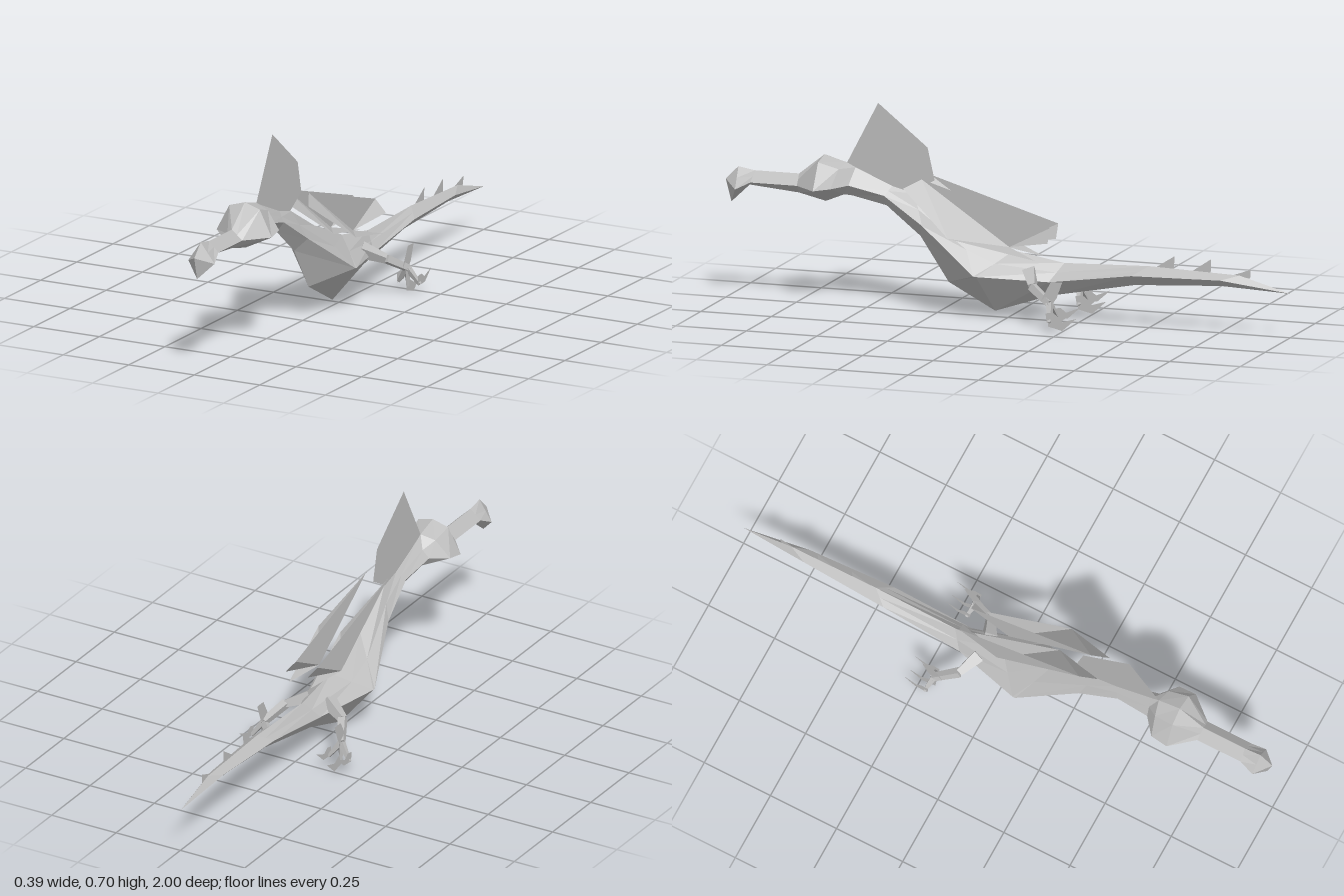
import * as THREE from 'three';

const grey = new THREE.MeshStandardMaterial({ color: 0xbcbcbc, flatShading: true, side: THREE.DoubleSide });
grey.name = 'grey';

function faceted(points, index, name) {
  const indexed = new THREE.BufferGeometry();
  indexed.setAttribute('position', new THREE.Float32BufferAttribute(points.flat(), 3));
  indexed.setIndex(index);
  const geo = indexed.toNonIndexed();
  geo.computeVertexNormals();
  const mesh = new THREE.Mesh(geo, grey);
  mesh.name = name;
  return mesh;
}

// Skin over cross-sections: top, shoulder, side and keel, mirrored in x
function loft(sections, name) {
  const points = [], index = [];
  for (const [zt, yt, zs, w, ys, zb, yb, sw = w * 0.5, sy = (yt + ys) / 2] of sections) {
    const zm = (zt + zs) / 2;
    points.push([0, yt, zt], [sw, sy, zm], [w, ys, zs], [0, yb, zb], [-w, ys, zs], [-sw, sy, zm]);
  }
  for (let i = 0; i < sections.length - 1; i++) {
    for (let j = 0; j < 6; j++) {
      const a = i * 6 + j, b = i * 6 + (j + 1) % 6;
      index.push(a, b, a + 6, b, b + 6, a + 6);
    }
  }
  return faceted(points, index, name);
}

// Thin upright plate from (z, y) outline points at a given x
function fin(outline, x, name) {
  const geo = new THREE.ShapeGeometry(new THREE.Shape(outline.map(([z, y]) => new THREE.Vector2(-z, y))));
  geo.rotateY(Math.PI / 2);
  geo.translate(x, 0, 0);
  const mesh = new THREE.Mesh(geo, grey);
  mesh.name = name;
  return mesh;
}

// Tapered four-sided limb segment between two points
function limb(from, to, r0, r1, name) {
  const a = new THREE.Vector3(...from), b = new THREE.Vector3(...to);
  const dir = b.clone().sub(a);
  const mesh = new THREE.Mesh(new THREE.CylinderGeometry(r1, r0, dir.length(), 4), grey);
  mesh.position.copy(a).add(b).multiplyScalar(0.5);
  mesh.quaternion.setFromUnitVectors(new THREE.Vector3(0, 1, 0), dir.normalize());
  mesh.name = name;
  return mesh;
}

// Folded wing: outer panel and upright inner panel sharing one crease
function makeWing(offset, name) {
  const points = [
    [0.075, 0.43, 0.345], [0.045, 0.46, 0.29], [0.043, 0.25, -0.02], [0.095, 0.22, -0.13],
    [0.153, 0.287, 0.16], [0.048, 0.325, -0.165], [0.085, 0.28, -0.17],
  ];
  const wing = faceted(points, [0, 4, 1, 1, 4, 2, 2, 4, 3, 1, 2, 5, 5, 2, 6], name);
  wing.position.x = offset;
  return wing;
}

function makeLeg(s, name) {
  const leg = new THREE.Group();
  leg.name = name;
  const knee = [s * 0.11, 0.135, -0.125], ankle = [s * 0.15, 0.09, -0.2];
  leg.add(limb([s * 0.035, 0.165, -0.09], knee, 0.03, 0.017, 'thigh'));
  leg.add(limb(knee, ankle, 0.018, 0.015, 'shin'));
  // Outer and inner toes with hooked claws
  for (const x of [0.11, 0.19]) {
    leg.add(limb(ankle, [s * x, 0.035, -0.215], 0.014, 0.007, 'toe'));
    leg.add(fin([[-0.2, 0.065], [-0.205, 0.032], [-0.25, 0.035], [-0.295, 0.075], [-0.245, 0.055], [-0.225, 0.07]],
      s * x, 'toeClaw'));
  }
  // Middle toe and rear spur
  leg.add(limb(ankle, [s * 0.15, 0.025, -0.205], 0.014, 0.005, 'middleToe'));
  leg.add(fin([[-0.19, 0.07], [-0.195, 0.012], [-0.245, 0], [-0.295, 0.045], [-0.245, 0.03], [-0.22, 0.045]],
    s * 0.15, 'middleClaw'));
  leg.add(fin([[-0.17, 0.1], [-0.2, 0.075], [-0.225, 0.11], [-0.245, 0.165], [-0.205, 0.165]],
    s * 0.15, 'spur'));
  return leg;
}

export function createModel() {
  const model = new THREE.Group();
  model.name = 'wingedCreature';

  // Each section: zTop, yTop, zSide, halfWidth, ySide, zKeel, yKeel, shoulderX, shoulderY
  model.add(loft([
    [1, 0.405, 1, 0, 0.405, 1, 0.405],
    [0.955, 0.45, 0.95, 0.05, 0.38, 0.98, 0.328],
    [0.896, 0.44, 0.9, 0.037, 0.405, 0.915, 0.39],
    [0.74, 0.44, 0.735, 0.037, 0.405, 0.74, 0.375],
  ], 'snout'));
  model.add(loft([
    [0.74, 0.44, 0.735, 0.037, 0.405, 0.74, 0.375],
    [0.65, 0.512, 0.655, 0.105, 0.405, 0.645, 0.353, 0.058, 0.495],
    [0.57, 0.49, 0.595, 0.1, 0.415, 0.58, 0.38, 0.05, 0.475],
    [0.54, 0.475, 0.55, 0.045, 0.42, 0.55, 0.378],
  ], 'head'));
  model.add(loft([
    [0.54, 0.475, 0.55, 0.045, 0.42, 0.55, 0.378],
    [0.41, 0.42, 0.43, 0.027, 0.39, 0.43, 0.353],
    [0.33, 0.4, 0.29, 0.042, 0.3, 0.31, 0.257],
    [0.17, 0.31, 0.085, 0.11, 0.155, 0.21, 0.107],
    [-0.02, 0.23, 0.075, 0.11, 0.154, 0.045, 0.02],
    [-0.2, 0.2, -0.16, 0.046, 0.14, -0.15, 0.085],
  ], 'neckAndBody'));
  model.add(loft([
    [-0.2, 0.2, -0.16, 0.046, 0.14, -0.15, 0.085],
    [-0.5, 0.21, -0.45, 0.04, 0.18, -0.45, 0.142],
    [-0.82, 0.2, -0.76, 0.024, 0.183, -0.755, 0.16],
    [-1, 0.15, -1, 0, 0.15, -1, 0.15],
  ], 'tail'));

  // Back sail and tail spikes on the centre line
  model.add(fin([[0.575, 0.48], [0.46, 0.7], [0.285, 0.56], [0.26, 0.45], [0.34, 0.4], [0.42, 0.415]], 0, 'backSail'));
  for (const [z, y, h] of [[-0.52, 0.205, 0.045], [-0.65, 0.202, 0.047], [-0.79, 0.197, 0.025]]) {
    model.add(fin([[z, y], [z - 0.07, y + h], [z - 0.068, y - 0.005]], 0, 'tailSpike'));
  }

  model.add(makeWing(0, 'outerWing'), makeWing(-0.085, 'innerWing'));
  model.add(makeLeg(1, 'leftLeg'), makeLeg(-1, 'rightLeg'));
  return model;
}
